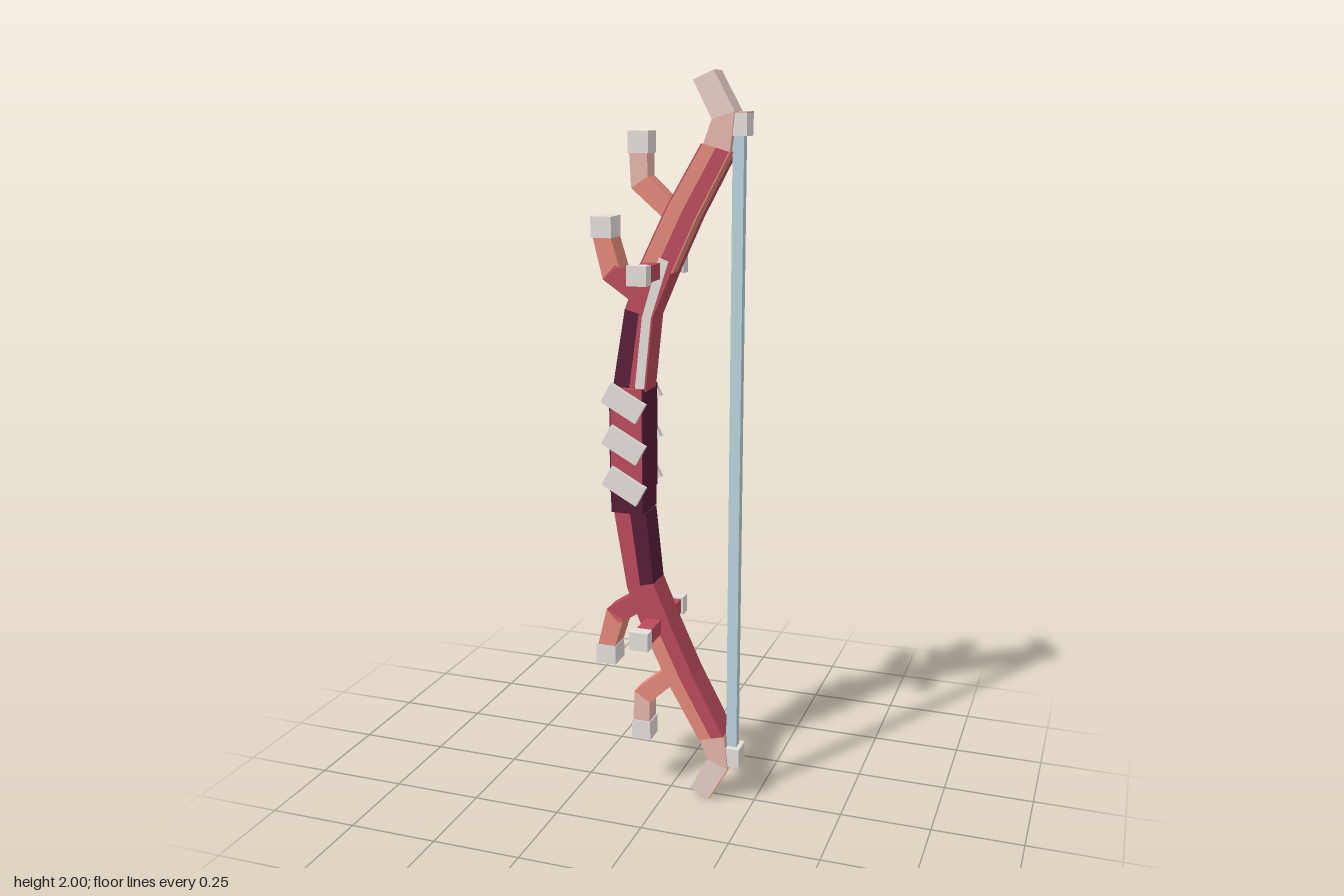
import * as THREE from 'three';

const mat = (name, color) => {
  const m = new THREE.MeshStandardMaterial({ color });
  m.name = name;
  return m;
};

export function createModel() {
  const bow = new THREE.Group();
  bow.name = 'bow';
  const bone = mat('bone', 0xe5dfda);
  const blush = mat('blush', 0xecd3cb);
  const pale = mat('palePink', 0xeebbb0);
  const salmon = mat('salmon', 0xe5897a);
  const red = mat('red', 0xbb4a5c);
  const dark = mat('darkMaroon', 0x571c38);
  const steel = mat('string', 0xbcd4df);

  const add = (parent, geo, material, name) => {
    const m = new THREE.Mesh(geo, material);
    m.name = name;
    parent.add(m);
    return m;
  };
  const box = (parent, name, material, size, pos) => {
    const m = add(parent, new THREE.BoxGeometry(...size), material, name);
    m.position.set(...pos);
    return m;
  };
  // Prism with a flat outline in x and y, from z0 to z1
  const slab = (parent, name, material, pts, z1, z0 = -z1) => {
    const shape = new THREE.Shape(pts.map(([x, y]) => new THREE.Vector2(x, y)));
    const geo = new THREE.ExtrudeGeometry(shape, { depth: z1 - z0, bevelEnabled: false });
    return add(parent, geo.translate(0, 0, z0), material, name);
  };
  const mix = (a, b) => [(a[0] + b[0]) / 2, (a[1] + b[1]) / 2];

  // Limb cross-sections: [outer point, inner point], upper half
  const limb = [
    [[-0.152, 1.17], [-0.058, 1.17]],
    [[-0.115, 1.39], [-0.037, 1.37]],
    [[-0.068, 1.51], [0.014, 1.49]],
    [[0.005, 1.66], [0.078, 1.63]],
    [[0.098, 1.82], [0.168, 1.80]],
  ];
  const tip = [
    [[0.098, 1.82], [0.168, 1.80]],
    [[0.12, 1.88], [0.18, 1.9]],
    [[0.07, 1.976], [0.124, 2.0]],
  ];
  // [outer colour, inner colour] of each limb section
  const upperColors = [[dark, red], [red, red], [salmon, red], [salmon, red]];
  const lowerColors = [[red, dark], [red, red], [salmon, red], [salmon, red]];

  for (const up of [true, false]) {
    const half = new THREE.Group();
    half.name = up ? 'upperLimb' : 'lowerLimb';
    bow.add(half);
    const flip = ([x, y]) => [x, up ? y : 2 - y];
    const quad = (name, material, pts, z1, z0) => slab(half, name, material, pts.map(flip), z1, z0);
    // Thin colour plate lying along an edge, dx thick
    const edgePlate = (name, material, p, q, dx, z1, z0) =>
      quad(name, material, [p, q, [q[0] + dx, q[1]], [p[0] + dx, p[1]]], z1, z0);

    // Curved limb, split lengthwise into an outer and an inner strip
    const colors = up ? upperColors : lowerColors;
    for (let i = 0; i < limb.length - 1; i++) {
      const [a, b] = limb[i], [c, d] = limb[i + 1];
      const ab = mix(a, b), cd = mix(c, d);
      quad('limbOuter', colors[i][0], [a, ab, cd, c], 0.042);
      quad('limbInner', colors[i][1], [ab, b, d, cd], 0.042);
      // Red back and half salmon belly on the upper limb's end
      if (up && i > 1) {
        edgePlate('limbBackPlate', red, a, c, -0.004, 0.042);
        edgePlate('limbBellyPlate', salmon, b, d, 0.004, 0.042, 0);
      }
    }

    // Recurved tip and string nock
    for (let i = 0; i < 2; i++) {
      const [a, b] = tip[i], [c, d] = tip[i + 1];
      quad('limbTip', i ? blush : pale, [a, b, d, c], 0.035);
    }
    if (!up) edgePlate('tipUnderside', salmon, tip[1][1], tip[2][1], 0.004, 0.035);
    box(half, 'nock', bone, [0.054, 0.056, 0.06], [0.184, flip([0, 1.867])[1], 0]);
    if (up) box(half, 'nockTop', pale, [0.054, 0.004, 0.06], [0.184, 1.897, 0]);

    // Two bent antler branches with bone caps
    quad('branchBase', red, [[-0.07, 1.39], [-0.06, 1.45], [-0.145, 1.505], [-0.18, 1.465]], 0.034);
    quad('branchStem', salmon, [[-0.18, 1.465], [-0.13, 1.49], [-0.157, 1.578], [-0.208, 1.578]], 0.034);
    box(half, 'branchCap', bone, [0.058, 0.056, 0.07], [-0.184, flip([0, 1.602])[1], 0]);
    quad('branchBase', salmon, [[0.0, 1.62], [0.015, 1.67], [-0.055, 1.735], [-0.1, 1.705]], 0.028);
    quad('branchStem', pale, [[-0.1, 1.705], [-0.055, 1.735], [-0.055, 1.8], [-0.105, 1.8]], 0.028);
    box(half, 'branchCap', bone, [0.056, 0.056, 0.062], [-0.08, flip([0, 1.822])[1], 0]);

    // Side pegs
    const y = flip([0, 1.495])[1];
    box(half, 'sidePeg', red, [0.042, 0.042, 0.27], [-0.036, y, 0]);
    for (const s of [-1, 1]) {
      box(half, 'pegCap', bone, [0.054, 0.052, 0.036], [-0.036, y, s * 0.148]);
    }
  }

  // Narrow bone inlay on the front and back of the upper limb
  const inlay = [[[-0.088, 1.17], [-0.062, 1.17]], [[-0.066, 1.37], [-0.041, 1.37]], [[-0.018, 1.53], [0.008, 1.52]]];
  for (let i = 0; i < 2; i++) {
    const [a, b] = inlay[i], [c, d] = inlay[i + 1];
    slab(bow, 'boneInlay', bone, [a, b, d, c], 0.045);
  }

  // Grip with dark plates on its back and belly
  box(bow, 'gripBase', dark, [0.092, 0.06, 0.112], [-0.108, 0.86, 0]);
  box(bow, 'grip', red, [0.09, 0.29, 0.116], [-0.108, 1.033, 0]);
  for (const x of [-0.154, -0.062]) {
    box(bow, 'gripPlate', dark, [0.004, 0.29, 0.116], [x, 1.033, 0]);
  }

  // Slanted wrap plates, front and back
  for (const s of [-1, 1]) {
    for (const y of [0.91, 1.025, 1.14]) {
      const wrap = box(bow, 'gripWrap', bone, [0.112, 0.06, 0.016], [-0.112, y, s * 0.064]);
      wrap.rotation.z = -s * 0.5;
    }
  }

  // Bowstring
  box(bow, 'bowstring', steel, [0.03, 1.7, 0.026], [0.184, 1, 0]);
  return bow;
}
